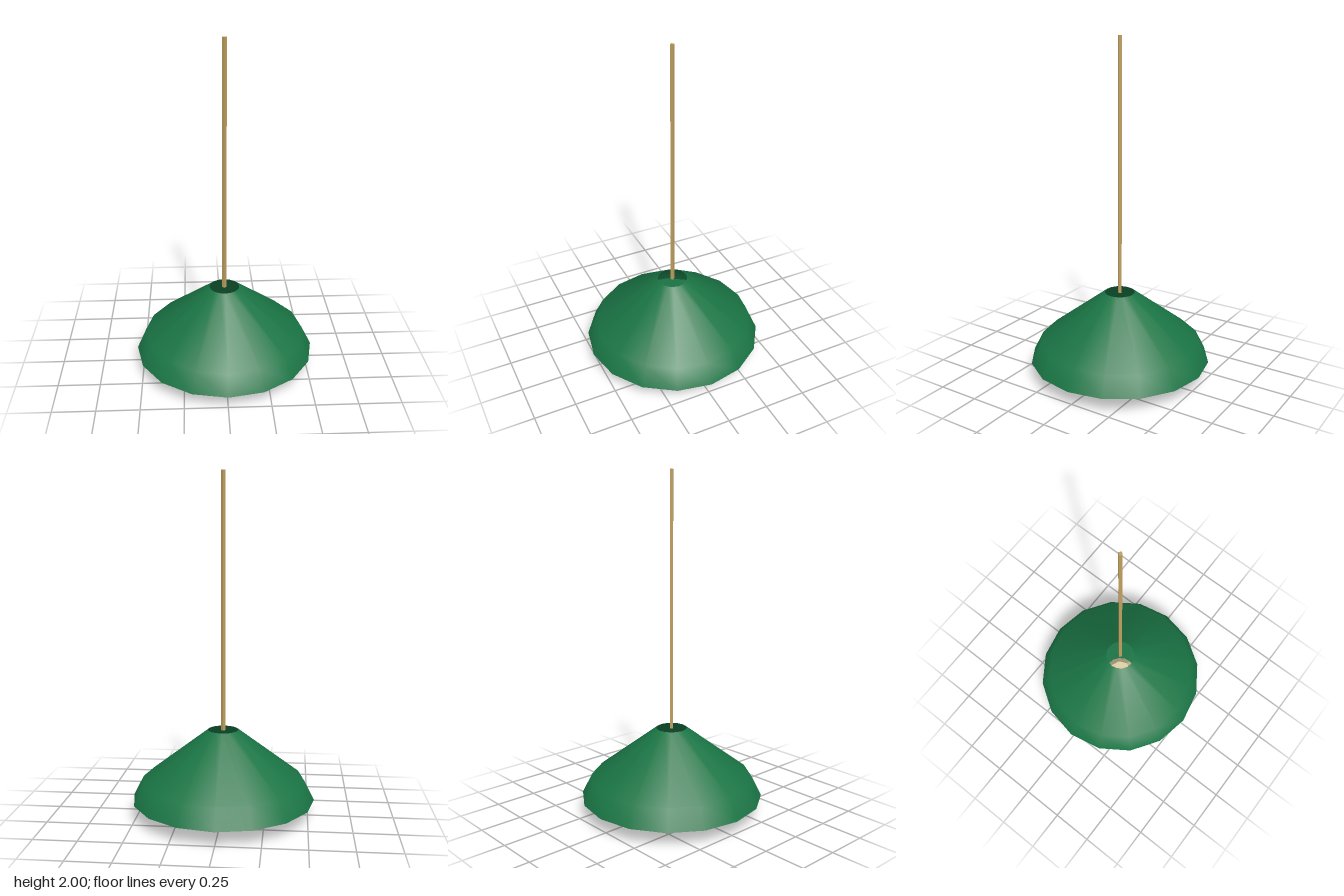
import * as THREE from 'three';

export function createModel() {
  const group = new THREE.Group();
  const green = new THREE.MeshStandardMaterial({ color: 0x1a7545, side: THREE.DoubleSide });
  green.name = 'shade green';
  const brass = new THREE.MeshStandardMaterial({ color: 0xc0a060, flatShading: true });
  brass.name = 'brass';
  const cream = new THREE.MeshStandardMaterial({ color: 0xdccfa4, flatShading: true });
  cream.name = 'bulb cream';

  const add = (name, geometry, material, y = 0) => {
    const mesh = new THREE.Mesh(geometry, material);
    mesh.name = name;
    mesh.position.y = y;
    group.add(mesh);
  };
  const lathe = (points, sides) =>
    new THREE.LatheGeometry(points.map(([r, y]) => new THREE.Vector2(r, y)), sides);

  // Shade: flared rim, long slope, small hole at the top
  add('shade', lathe([[0.537, 0.095], [0.478, 0.212], [0.09, 0.509]], 16), green);

  // Nearly flat underside closing the shade around the bulb
  add('shadeUnderside', lathe([[0.1, 0.138], [0.537, 0.095]], 16), green);

  // Four-sided hanging rod, ending at the shade's hole
  const bottom = 0.505;
  add('rod', new THREE.CylinderGeometry(0.013, 0.013, 2 - bottom, 4), brass, (2 + bottom) / 2);

  // Faceted bulb with a flat top
  add('bulb', lathe([[0, 0], [0.071, 0.023], [0.118, 0.1], [0.07, 0.16], [0, 0.16]], 8), cream);

  return group;
}
